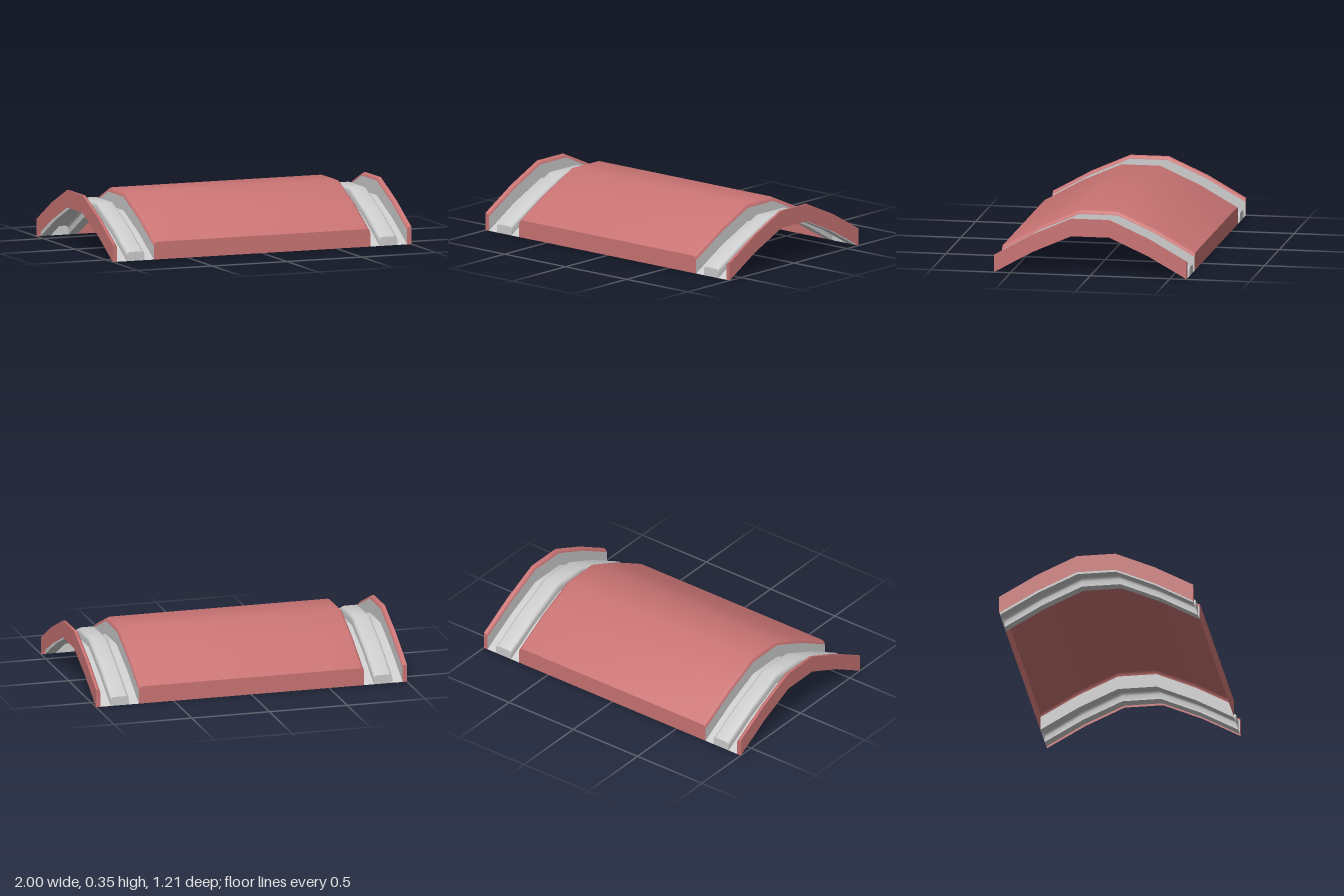
import * as THREE from 'three';
import { toCreasedNormals } from 'three/addons/utils/BufferGeometryUtils.js';

const RED = new THREE.MeshStandardMaterial({ color: 0xc97373, side: THREE.DoubleSide });
const GREY = new THREE.MeshStandardMaterial({ color: 0xcccccc, side: THREE.DoubleSide });

// Arched path [z, y] that every profile follows, front to back
const PATH = [[0.605, 0], [0.365, 0.135], [0.12, 0.244], [-0.12, 0.244], [-0.365, 0.135], [-0.605, 0]];
const H = 0.11, BAR_H = 0.056;
const PANEL_X = 0.725, BAR_IN = 0.788, BAR_OUT = 0.906, LIP_X = 0.972;

// Rounded top corner: from the wall over to the top (rising = true) or from the top down to the wall
function corner(x, top, r, rising) {
  const pts = [];
  for (let i = 0; i <= 3; i++) {
    const a = (rising ? i : 3 - i) / 3 * Math.PI / 2;
    const dx = r * (1 - Math.cos(a));
    pts.push([rising ? x + dx : x - dx, top - r + r * Math.sin(a)]);
  }
  return pts;
}

const mirror = (pts) => pts.map(([x, y]) => [-x, y]).reverse();

// Sheet made by sweeping an open profile (listed towards +x) along the arch
function sheet(name, pts, material) {
  const pos = [], index = [], n = pts.length;
  for (const [z, y] of PATH) for (const [px, py] of pts) pos.push(px, py + y, z);
  for (let j = 0; j < PATH.length - 1; j++) {
    for (let i = 0; i < n - 1; i++) {
      const a = j * n + i, b = a + 1, c = a + n, d = c + 1;
      index.push(a, b, d, a, d, c);
    }
  }
  const geo = new THREE.BufferGeometry();
  geo.setAttribute('position', new THREE.Float32BufferAttribute(pos, 3));
  geo.setIndex(index);
  const mesh = new THREE.Mesh(toCreasedNormals(geo, 0.65), material);
  mesh.name = name;
  return mesh;
}

// Flat plates closing a profile at both ends of the arch
function endCaps(name, pts, material) {
  const group = new THREE.Group();
  group.name = name;
  const geo = new THREE.ShapeGeometry(new THREE.Shape(pts.map(([x, y]) => new THREE.Vector2(x, y))));
  for (const z of [0.605, -0.605]) {
    const cap = new THREE.Mesh(geo, material);
    cap.name = name;
    cap.position.z = z;
    group.add(cap);
  }
  return group;
}

export function createModel() {
  const model = new THREE.Group();
  model.name = 'archedCover';

  // Wide central panel with rounded long edges
  const panel = [...corner(-PANEL_X, H, 0.025, true), ...corner(PANEL_X, H, 0.025, false)];
  model.add(sheet('centralPanel', panel, RED));
  model.add(endCaps('centralPanelEnd', [[-PANEL_X, 0], ...panel, [PANEL_X, 0]], RED));

  // Profiles of one side: panel wall, channel with raised bar, lip wall
  const bar = [...corner(BAR_IN, BAR_H, 0.022, true), ...corner(BAR_OUT, BAR_H, 0.022, false)];
  const barFull = [[BAR_IN, 0], ...bar, [BAR_OUT, 0]];
  const channel = [
    [PANEL_X, H - 0.025], [PANEL_X, 0], ...barFull, [LIP_X, 0], [LIP_X, H - 0.02],
  ];
  const lip = [...corner(LIP_X, H, 0.02, true), [1, H], [1, 0]];

  for (const side of ['left', 'right']) {
    const place = (pts) => (side === 'left' ? pts : mirror(pts));
    model.add(
      sheet(side + 'Channel', place(channel), GREY),
      endCaps(side + 'BarEnd', place(barFull), GREY),
      sheet(side + 'Lip', place(lip), RED),
      endCaps(side + 'LipEnd', place([[LIP_X, 0], ...lip]), RED),
    );
  }
  return model;
}
